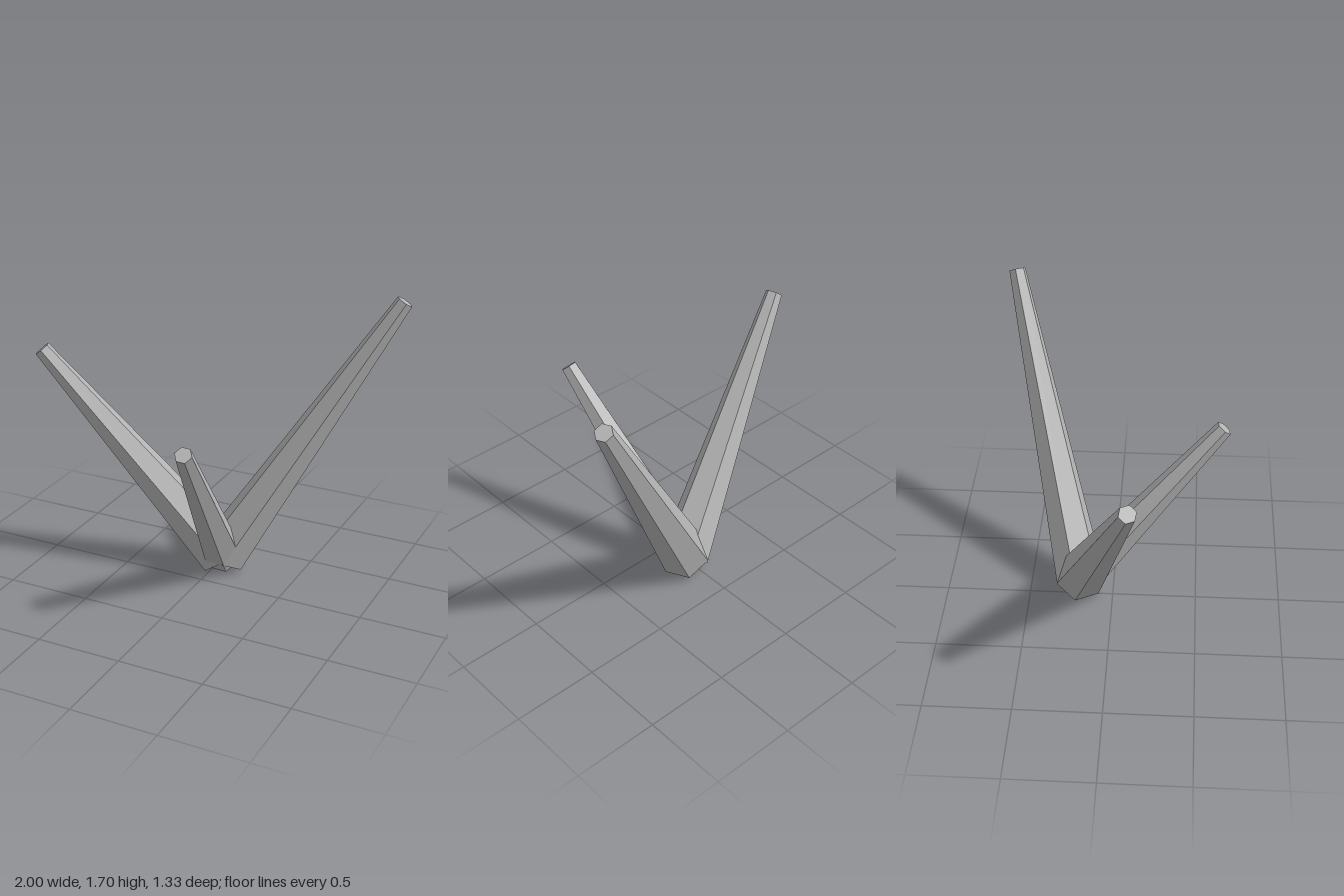
import * as THREE from 'three';

// Shared point from which every prong grows
const BASE = new THREE.Vector3(0.044, 0.09, -0.2);

// Tapered six-sided prong from BASE to tip, with one corner turned toward the x axis
function makeProng(name, tip, baseRadius, tipRadius, material) {
  const axis = new THREE.Vector3(...tip).sub(BASE);
  const length = axis.length();
  axis.normalize();
  const corner = new THREE.Vector3(1, 0, 0).projectOnPlane(axis).normalize();
  const side = new THREE.Vector3().crossVectors(axis, corner);

  const geometry = new THREE.CylinderGeometry(tipRadius, baseRadius, length, 6).toNonIndexed();
  geometry.translate(0, length / 2, 0);
  geometry.computeVertexNormals(); // flat facets

  const prong = new THREE.Mesh(geometry, material);
  prong.name = name;
  prong.quaternion.setFromRotationMatrix(new THREE.Matrix4().makeBasis(side, axis, corner));
  prong.position.copy(BASE);
  return prong;
}

export function createModel() {
  const grey = new THREE.MeshStandardMaterial({ color: 0xb4b4b4, flatShading: true });
  grey.name = 'grey';

  const model = new THREE.Group();
  model.name = 'prongCluster';
  model.add(
    makeProng('tallLeftProng', [0.956, 1.68, -0.62], 0.15, 0.05, grey),
    makeProng('rightProng', [-0.96, 1.343, 0.126], 0.15, 0.05, grey),
    makeProng('shortFrontProng', [0.205, 1.095, 0.626], 0.122, 0.05, grey),
  );
  return model;
}
